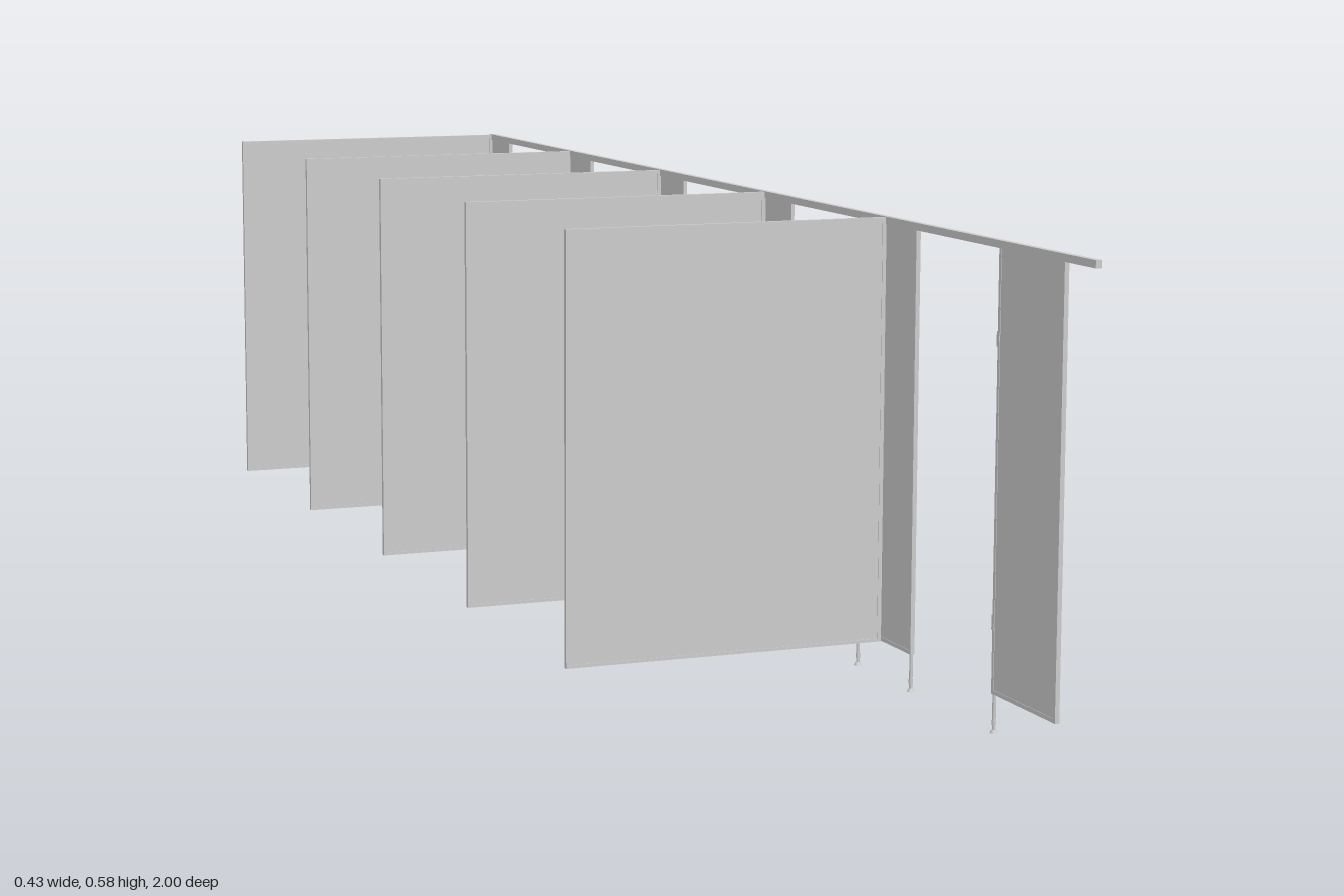
import * as THREE from 'three';

const mat = new THREE.MeshStandardMaterial({ color: 0xcccccc });

// box given by its min and max corners
function box(parent, name, x0, x1, y0, y1, z0, z1) {
  const m = new THREE.Mesh(new THREE.BoxGeometry(x1 - x0, y1 - y0, z1 - z0), mat);
  m.position.set((x0 + x1) / 2, (y0 + y1) / 2, (z0 + z1) / 2);
  m.name = name;
  parent.add(m);
}

function rod(parent, name, r0, r1, h, x, y, z) {
  const m = new THREE.Mesh(new THREE.CylinderGeometry(r0, r1, h, 12), mat);
  m.position.set(x, y, z);
  m.name = name;
  parent.add(m);
}

const TOP = 0.577, BOTTOM = 0.046, X = 0.207, WALL = -0.2145, TRIM = 0.005;

// partition running from the wall to the front line, framed by thin edge strips
function divider(z) {
  const g = new THREE.Group();
  g.name = 'divider';
  const t = 0.0022, e = 0.003, x1 = 0.2045;
  box(g, 'dividerPanel', WALL + 0.001, x1, BOTTOM + 0.001, TOP - 0.001, z - t, z + t);
  box(g, 'wallChannel', WALL, WALL + TRIM, BOTTOM, TOP, z - e, z + e);
  box(g, 'frontChannel', x1 - TRIM, x1, BOTTOM, TOP, z - e, z + e);
  box(g, 'topEdge', WALL, x1, TOP - TRIM, TOP, z - e, z + e);
  box(g, 'bottomEdge', WALL, x1, BOTTOM, BOTTOM + 0.004, z - e, z + e);
  return g;
}

// adjustable foot: post, collar and floor disc
function leg(parent, z) {
  rod(parent, 'legPost', 0.0022, 0.0022, 0.046, X, 0.027, z);
  rod(parent, 'legCollar', 0.0028, 0.0028, 0.006, X, 0.013, z);
  rod(parent, 'legFoot', 0.003, 0.0048, 0.004, X, 0.002, z);
}

// front panel between two doorways
function pilaster(z0, z1, legs, hinged) {
  const g = new THREE.Group();
  g.name = 'pilaster';
  const t = 0.0022, e = 0.0028;
  box(g, 'pilasterPanel', X - t, X + t, 0.048, 0.572, z0 + 0.001, z1 - 0.001);
  for (const z of [z0, z1 - TRIM])
    box(g, 'pilasterEdge', X - e, X + e, 0.047, 0.572, z, z + TRIM);
  box(g, 'pilasterBottomEdge', X - e, X + e, 0.047, 0.052, z0, z1);
  legs.forEach((z) => leg(g, z));
  // two pairs of hinge knuckles on the doorway edge
  if (hinged) for (const y of [0.132, 0.464]) {
    box(g, 'hingePlate', X - 0.003, X + 0.0035, y - 0.009, y + 0.009, z0 - 0.002, z0 + 0.004);
    for (const s of [-1, 1])
      rod(g, 'hingeKnuckle', 0.003, 0.003, 0.005, X + 0.0035, y + s * 0.0055, z0 - 0.002);
  }
  return g;
}

export function createModel() {
  const model = new THREE.Group();
  model.name = 'cubicleRow';

  for (const z of [-0.997, -0.63, -0.26, 0.11, 0.478]) model.add(divider(z));

  // wall-side pilaster, four standard ones, narrow corner one
  model.add(pilaster(0.776, 0.93, [0.779], true));
  for (const z of [0.407, 0.039, -0.329, -0.697])
    model.add(pilaster(z, z + 0.157, [z + 0.003, z + 0.154], true));
  model.add(pilaster(-0.999, -0.91, [-0.995, -0.913], false));

  // head rail joining all the pilasters
  box(model, 'headRail', X - 0.0038, X + 0.0038, 0.569, 0.578, -1, 1);
  return model;
}
